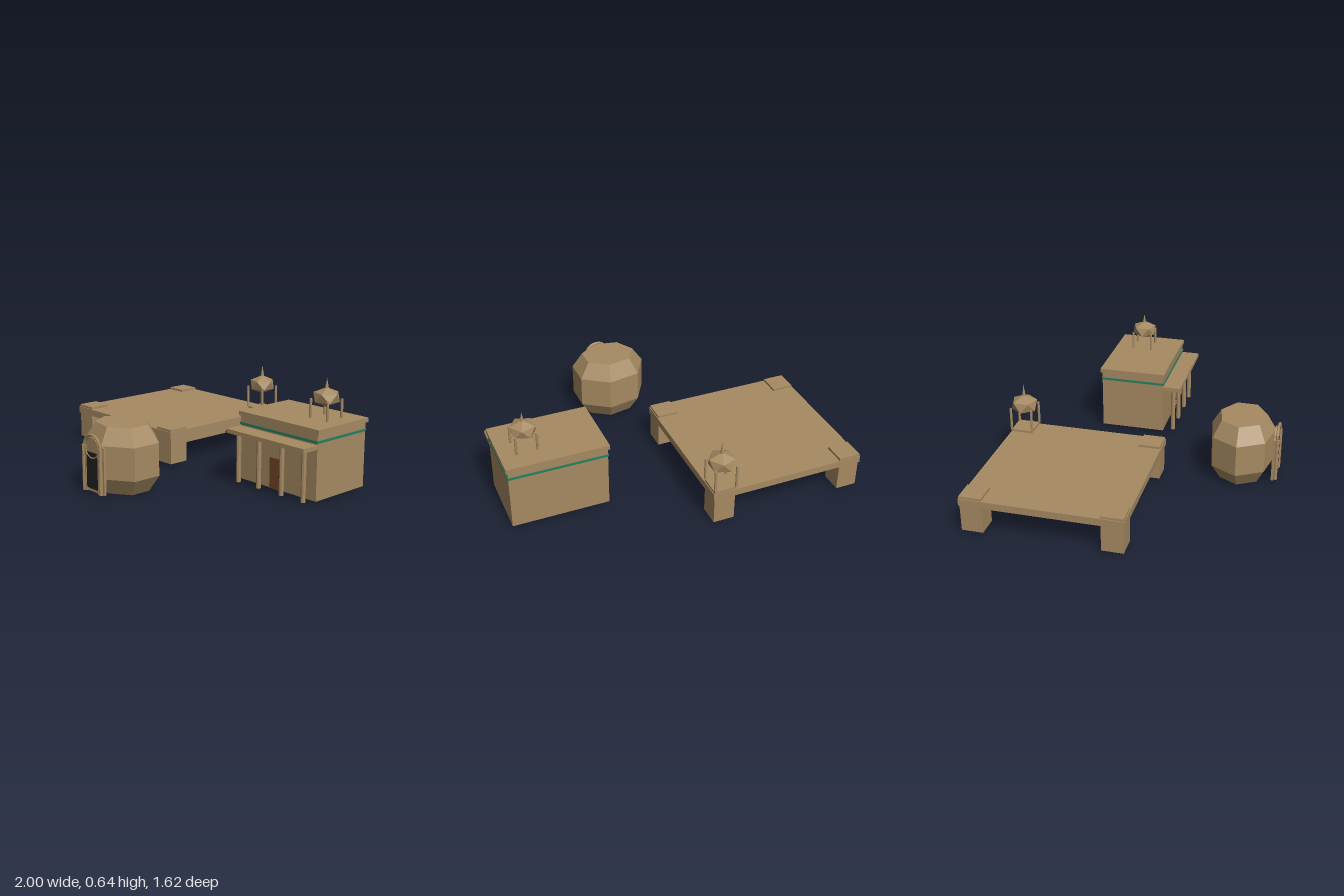
import * as THREE from 'three';

const mat = (name, color) => {
  const m = new THREE.MeshStandardMaterial({ color });
  m.name = name;
  return m;
};

// Gives every face its own normal for the low-poly look
function faceted(geometry) {
  const g = geometry.index ? geometry.toNonIndexed() : geometry;
  g.computeVertexNormals();
  return g;
}

export function createModel() {
  const sand = mat('sandstone', 0xa68a62);
  const green = mat('green trim', 0x25805f);
  const wood = mat('door wood', 0x754626);
  const dark = mat('dark', 0x222222);

  const model = new THREE.Group();
  model.name = 'settlement';

  function group(name) {
    const g = new THREE.Group();
    g.name = name;
    model.add(g);
    return g;
  }
  function add(parent, name, geometry, material, x = 0, y = 0, z = 0) {
    const m = new THREE.Mesh(geometry, material);
    m.name = name;
    m.position.set(x, y, z);
    parent.add(m);
    return m;
  }
  // Box given by its limits
  function box(parent, name, x0, x1, y0, y1, z0, z1, material = sand) {
    return add(parent, name, new THREE.BoxGeometry(x1 - x0, y1 - y0, z1 - z0), material,
      (x0 + x1) / 2, (y0 + y1) / 2, (z0 + z1) / 2);
  }
  function post(parent, name, r, x, z, y0, y1, sides = 8) {
    return add(parent, name, faceted(new THREE.CylinderGeometry(r, r, y1 - y0, sides)), sand, x, (y0 + y1) / 2, z);
  }

  // Turret: four posts, a squashed faceted ball and a spike
  function turret(x, z, baseY, ballY, r, half, spread, tipY) {
    const t = group('turret');
    for (const sx of [-1, 1]) {
      for (const sz of [-1, 1]) {
        post(t, 'turretPost', 0.008, x + sx * spread, z + sz * spread, baseY, ballY - 0.01);
      }
    }
    const ball = new THREE.IcosahedronGeometry(r, 0);
    ball.rotateZ(Math.atan2(2, 1 + Math.sqrt(5)));
    ball.rotateY(Math.PI);
    ball.scale(1, half / r, 1);
    add(t, 'turretBall', faceted(ball), sand, x, ballY, z);
    const y0 = ballY + half - 0.008;
    add(t, 'turretSpike', faceted(new THREE.ConeGeometry(0.012, tipY - y0, 6)), sand, x, (tipY + y0) / 2, z);
  }

  // Platform: slab on four legs, with stepped layers hanging beneath
  const platform = group('platform');
  const cx = -0.53, cz = -0.34;
  box(platform, 'slab', -1, -0.06, 0.175, 0.218, -0.808, 0.13);
  [[0.385, 0.13, 0.175], [0.307, 0.088, 0.13], [0.226, 0.045, 0.088]].forEach(([h, y0, y1]) =>
    box(platform, 'understep', cx - h, cx + h, y0, y1, cz - h, cz + h));
  for (const sx of [-1, 1]) {
    for (const sz of [-1, 1]) {
      const x = cx + sx * 0.4, z = cz + sz * 0.4;
      box(platform, 'leg', x - 0.063, x + 0.063, 0.015, 0.175, z - 0.063, z + 0.063);
      box(platform, 'cornerPad', x - 0.065, x + 0.065, 0.218, 0.232, z - 0.065, z + 0.065);
    }
  }
  turret(-0.133, -0.738, 0.232, 0.382, 0.087, 0.062, 0.065, 0.513);

  // House
  const house = group('house');
  box(house, 'walls', 0.41, 0.988, 0.015, 0.392, -0.405, 0);
  box(house, 'roof', 0.4, 1, 0.392, 0.418, -0.415, 0.006);
  box(house, 'trimBand', 0.406, 0.992, 0.34, 0.354, -0.409, 0.004, green);
  box(house, 'awning', 0.406, 0.99, 0.308, 0.332, 0, 0.113);
  for (const x of [0.453, 0.613, 0.787, 0.947]) {
    post(house, 'porchPost', 0.014, x, 0.058, 0.015, 0.308);
  }
  box(house, 'door', 0.65, 0.747, 0.015, 0.195, 0, 0.009, wood);
  add(house, 'doorKnob', new THREE.SphereGeometry(0.007, 8, 6), dark, 0.727, 0.098, 0.013);
  turret(0.843, -0.235, 0.418, 0.537, 0.083, 0.056, 0.061, 0.644);

  // Seven-sided hut with bevelled top and bottom
  const hut = group('hut');
  const profile = [[0, 0], [0.17, 0], [0.237, 0.097], [0.237, 0.288], [0.17, 0.385], [0, 0.385]]
    .map(([r, y]) => new THREE.Vector2(r, y));
  const shell = new THREE.LatheGeometry(profile, 7, -Math.PI / 2);
  shell.scale(1, 1, 0.84);
  add(hut, 'hutShell', faceted(shell), sand, 0.047, 0, 0.578);

  // Hut entrance: backing plate, dark door, round panel, rings and side columns
  const ex = 0.048;
  box(hut, 'entrancePlate', ex - 0.095, ex + 0.095, 0.015, 0.285, 0.773, 0.788);
  box(hut, 'entranceDoor', ex - 0.053, ex + 0.053, 0.035, 0.245, 0.788, 0.797, dark);
  const disc = new THREE.CylinderGeometry(0.06, 0.06, 0.02, 20);
  disc.rotateX(Math.PI / 2);
  add(hut, 'upperPanel', disc, sand, ex, 0.272, 0.784);
  add(hut, 'innerRing', new THREE.TorusGeometry(0.059, 0.004, 6, 28), sand, ex, 0.272, 0.797);
  add(hut, 'entranceArch', new THREE.TorusGeometry(0.073, 0.009, 6, 20, Math.PI), sand, ex, 0.272, 0.794);
  for (const s of [-1, 1]) {
    post(hut, 'entranceColumn', 0.012, ex + s * 0.075, 0.796, 0.015, 0.28);
    box(hut, 'doorJamb', ex + s * 0.058 - 0.006, ex + s * 0.058 + 0.006, 0.015, 0.28, 0.786, 0.8);
  }
  return model;
}
